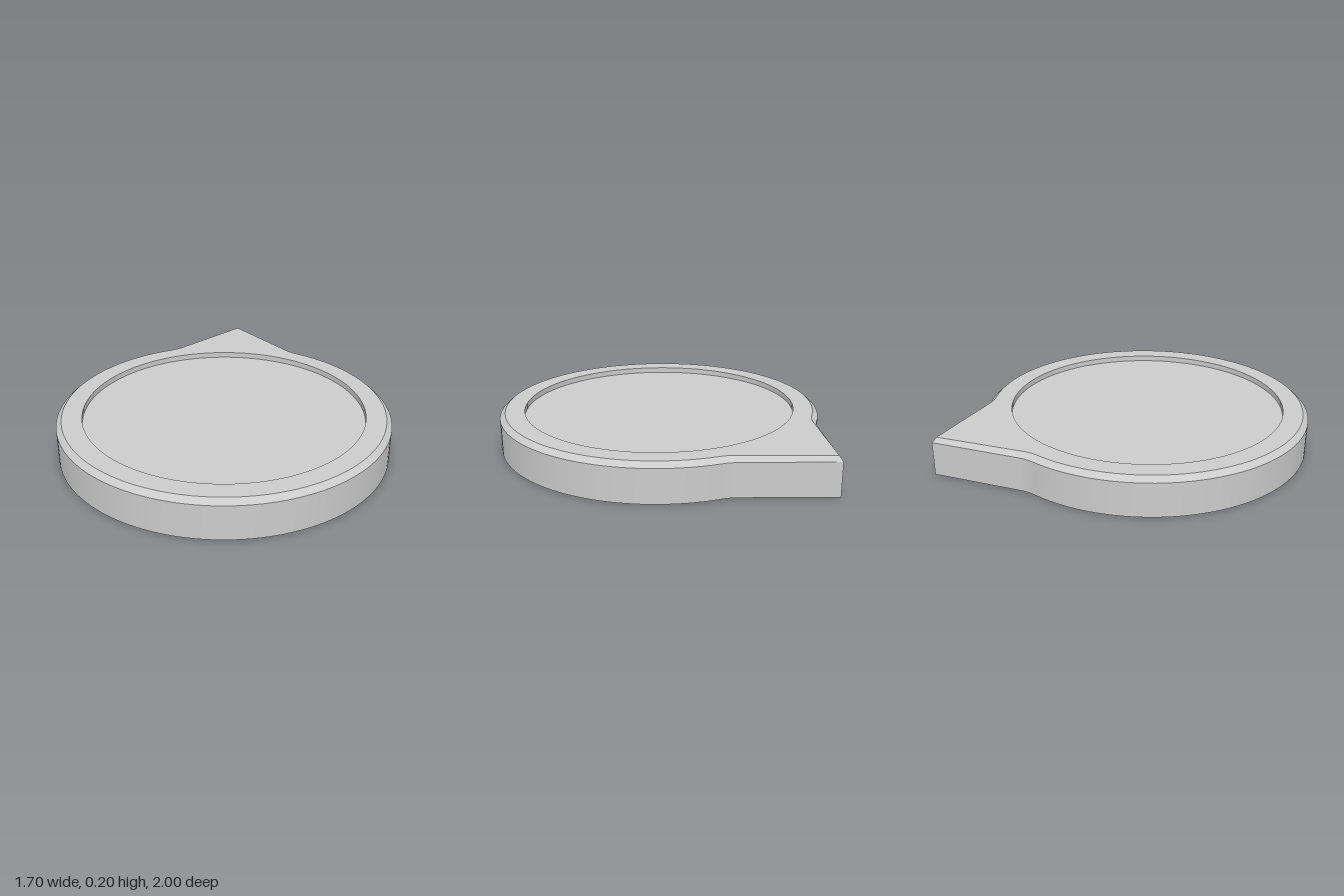
import * as THREE from 'three';

const CENTER = -0.15; // disc centre in plan (plan y = -z)
const HEIGHT = 0.2, BEVEL_Y = 0.175, FLOOR_Y = 0.17, RECESS_R = 0.72;

// Teardrop outline, counter-clockwise from the pointer tip and back to it
function outline(r, jx, tipY) {
  const onDisc = (x) => new THREE.Vector2(x, CENTER + Math.sqrt(r * r - x * x));
  const tip = new THREE.Vector2(0, tipY);
  const corner = onDisc(jx), end = onDisc(jx + 0.04);
  const fillet = new THREE.QuadraticBezierCurve(corner.clone().lerp(tip, 0.09), corner, end).getPoints(6);
  const mirrored = fillet.map((p) => new THREE.Vector2(-p.x, p.y));
  const a0 = Math.PI - Math.atan2(end.y - CENTER, end.x);
  const a1 = 3 * Math.PI - a0;
  const arc = [];
  for (let i = 1; i < 120; i++) {
    const a = a0 + (a1 - a0) * i / 120;
    arc.push(new THREE.Vector2(r * Math.cos(a), CENTER + r * Math.sin(a)));
  }
  return [tip, ...mirrored, ...arc, ...fillet.reverse(), tip.clone()];
}

function circle(r) {
  const pts = [];
  for (let i = 0; i <= 128; i++) {
    const a = i / 128 * Math.PI * 2;
    pts.push(new THREE.Vector2(r * Math.cos(a), CENTER + r * Math.sin(a)));
  }
  return pts;
}

// Wall between two matching plan outlines at two heights
function strip(low, y0, high, y1) {
  const pos = [], idx = [];
  low.forEach((p, i) => {
    pos.push(p.x, y0, -p.y, high[i].x, y1, -high[i].y);
    if (i > 0) {
      const a = 2 * (i - 1), b = 2 * i;
      idx.push(a, b, b + 1, a, b + 1, a + 1);
    }
  });
  const g = new THREE.BufferGeometry();
  g.setAttribute('position', new THREE.Float32BufferAttribute(pos, 3));
  g.setIndex(idx);
  g.computeVertexNormals();
  return g;
}

// Flat horizontal face, facing up or down
function face(points, y, up = true, hole = null) {
  const shape = new THREE.Shape(points.slice(0, -1).map((p) => new THREE.Vector2(p.x, up ? p.y : -p.y)));
  if (hole) shape.holes.push(new THREE.Path(hole.slice(0, -1)));
  return new THREE.ShapeGeometry(shape).rotateX(up ? -Math.PI / 2 : Math.PI / 2).translate(0, y, 0);
}

export function createModel() {
  const group = new THREE.Group();
  group.name = 'pointedDisc';
  const material = new THREE.MeshStandardMaterial({ color: 0xcccccc });
  const add = (name, geometry) => {
    const mesh = new THREE.Mesh(geometry, material);
    mesh.name = name;
    group.add(mesh);
  };

  const outer = outline(0.85, 0.35, 1);
  const inner = outline(0.822, 0.34, 0.975);
  const recess = circle(RECESS_R);

  // Body with chamfered top edge
  add('sideWall', strip(outer, 0, outer, BEVEL_Y));
  add('chamfer', strip(outer, BEVEL_Y, inner, HEIGHT));
  add('underside', face(outer, 0, false));
  add('rim', face(inner, HEIGHT, true, recess));

  // Shallow round recess
  const inward = [...recess].reverse();
  add('recessWall', strip(inward, FLOOR_Y, inward, HEIGHT));
  add('recessFloor', face(recess, FLOOR_Y));

  return group;
}
